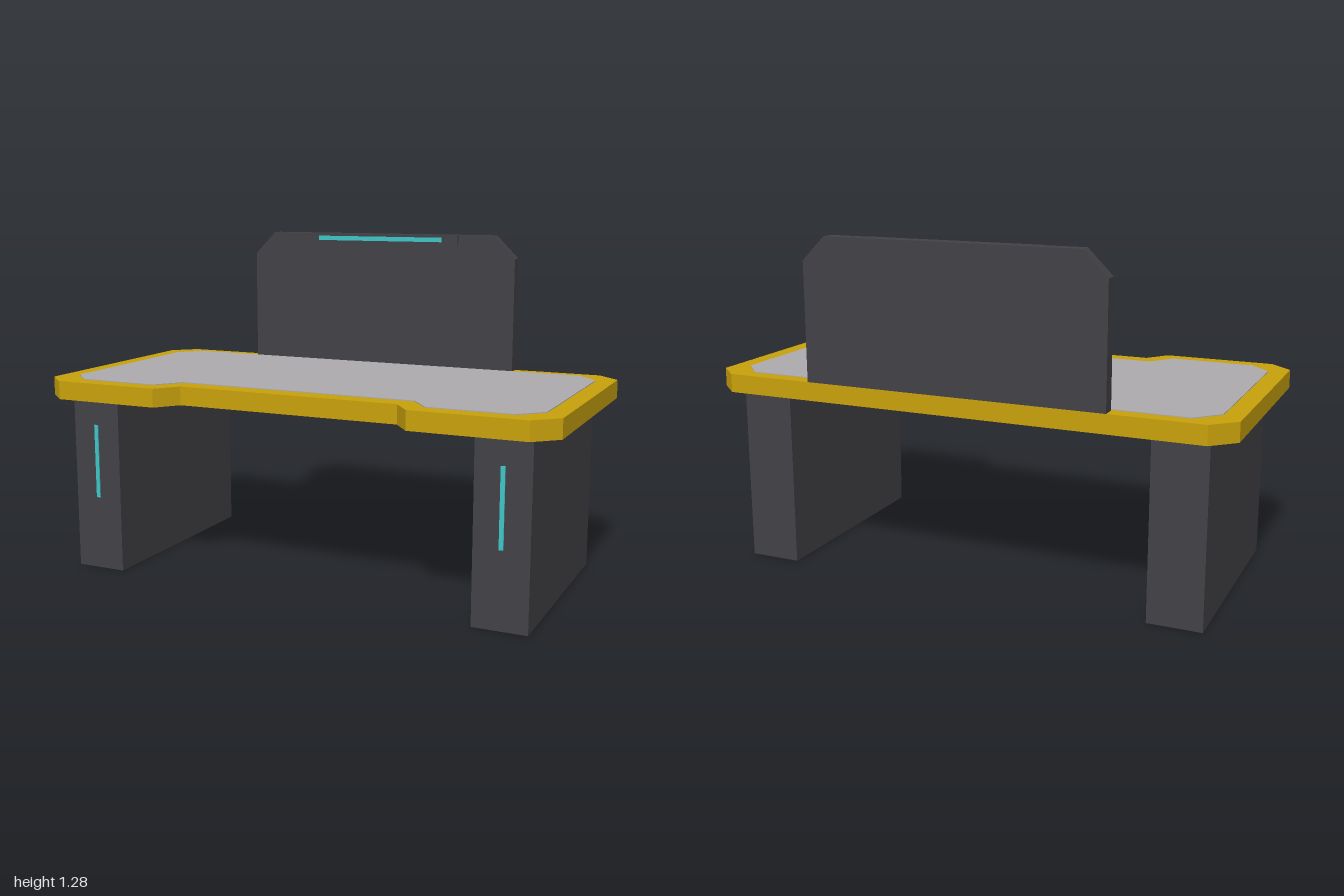
import * as THREE from 'three';

const material = (name, color) => {
  const m = new THREE.MeshStandardMaterial({ color });
  m.name = name;
  return m;
};

// Mirrors a half outline (listed for x > 0) across x = 0
const mirroredShape = (half) => new THREE.Shape([
  ...half,
  ...[...half].reverse().map(([x, y]) => [-x, y]),
].map(([x, y]) => new THREE.Vector2(x, y)));

const extrude = (half, depth) =>
  new THREE.ExtrudeGeometry(mirroredShape(half), { depth, bevelEnabled: false });

export function createModel() {
  const gold = material('gold', 0xc8a10c);
  const charcoal = material('charcoal', 0x424146);
  const grey = material('pale grey', 0xaeabaf);
  const cyan = material('cyan', 0x40c6c8);

  const model = new THREE.Group();
  model.name = 'desk';

  const add = (name, geometry, mat, x = 0, y = 0, z = 0) => {
    const mesh = new THREE.Mesh(geometry, mat);
    mesh.name = name;
    mesh.position.set(x, y, z);
    model.add(mesh);
    return mesh;
  };

  // Tabletop with clipped corners and a front recess; outline is (x, -z)
  const top = extrude([
    [0.43, -0.415], [0.495, -0.5], [0.915, -0.5], [1, -0.42],
    [1, 0.42], [0.915, 0.5],
  ], 0.07).rotateX(-Math.PI / 2);
  add('tabletop', top, gold, 0, 0.675, 0);

  // Thin desk mat following the tabletop outline
  const mat = extrude([
    [0.465, -0.34], [0.535, -0.432], [0.85, -0.432], [0.93, -0.35],
    [0.93, 0.355], [0.85, 0.443],
  ], 0.003).rotateX(-Math.PI / 2);
  add('deskMat', mat, grey, 0, 0.745, 0);

  // Slab legs with a light strip on the front edge
  for (const [side, s] of [['left', 1], ['right', -1]]) {
    add(`${side}Leg`, new THREE.BoxGeometry(0.2, 0.675, 0.845), charcoal, s * 0.808, 0.3375, -0.002);
    add(`${side}LegLight`, new THREE.BoxGeometry(0.016, 0.286, 0.005), cyan, s * 0.808, 0.427, 0.422);
  }

  // Upright back panel with clipped upper corners
  const panel = extrude([[0.575, 0.745], [0.575, 1.19], [0.485, 1.28]], 0.05);
  add('backPanel', panel, charcoal, 0, 0, -0.5);

  // Light bar along the panel's top edge
  add('lightBar', new THREE.BoxGeometry(0.68, 0.045, 0.008), charcoal, 0, 1.2575, -0.446);
  add('panelLight', new THREE.BoxGeometry(0.545, 0.018, 0.003), cyan, 0, 1.26, -0.4415);

  return model;
}
